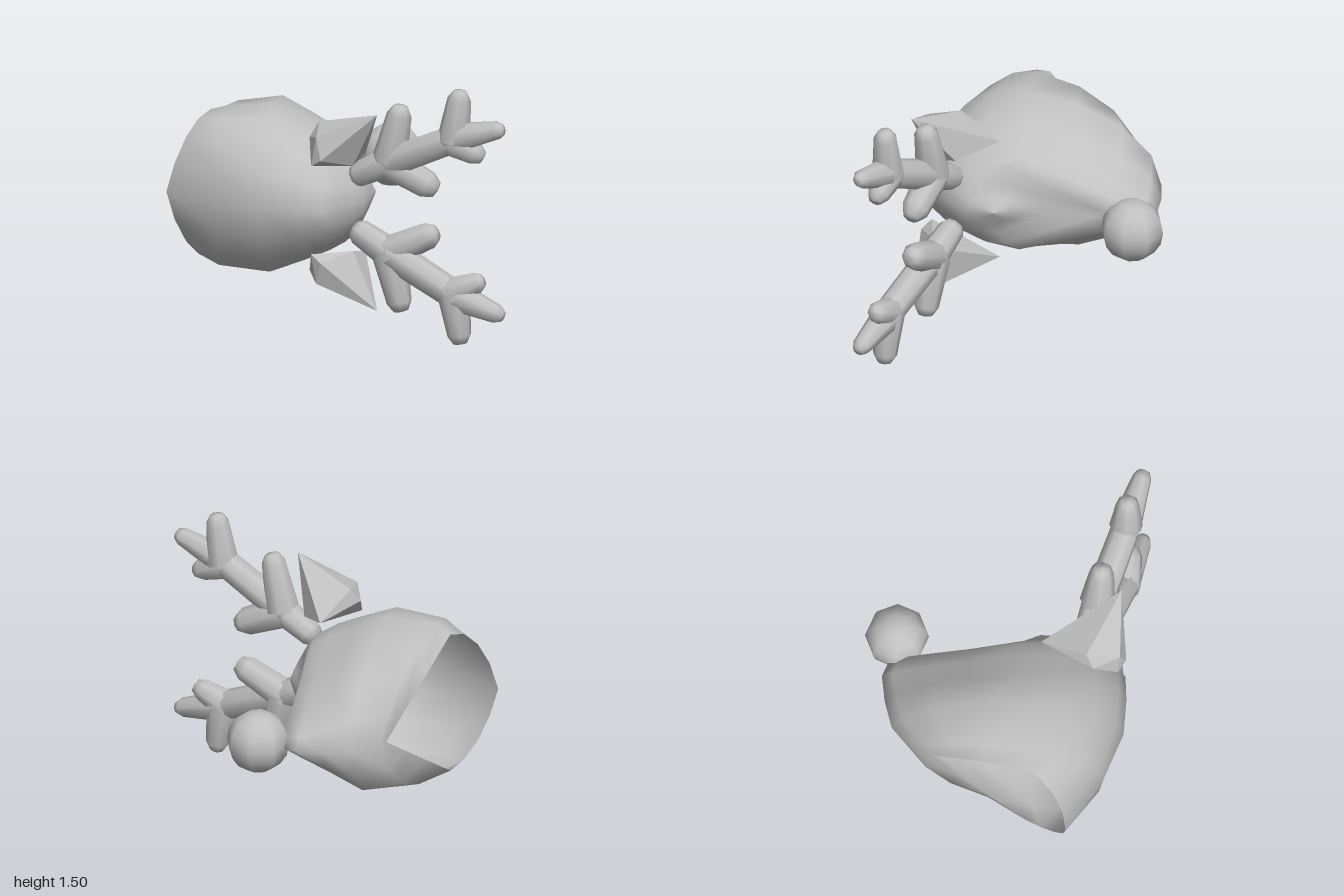
import * as THREE from 'three';
import { ConvexGeometry } from 'three/addons/geometries/ConvexGeometry.js';

const MID = 0.757; // height of the mirror plane

// Each section: front [x,z], back [x,z], half width, place of widest point, bow in x, straightness of back half
const SECTIONS = [
  [-1, 0.37, -0.56, -0.45, 0.43, 0.29, 0.09, 1],
  [-0.67, 0.58, -0.54, -0.49, 0.465, 0.38, -0.07, 0],
  [-0.41, 0.68, -0.41, -0.635, 0.488, 0.4, 0, 0],
  [-0.2, 0.69, -0.25, -0.68, 0.41, 0.42, 0, 0.3],
  [-0.06, 0.68, -0.1, -0.7, 0.345, 0.42, 0, 0.7],
  [0.02, 0.58, 0, -0.66, 0.3, 0.4, 0, 0.85],
  [0.09, 0.5, 0.01, -0.4, 0.24, 0.4, 0, 0.9],
  [0.14, 0.41, 0.01, -0.1, 0.17, 0.4, 0, 0.5],
  [0.16, 0.35, 0.12, 0.08, 0.08, 0.5, 0, 0],
  [0.175, 0.19, 0.175, 0.19, 0, 0.5, 0, 0],
];

// Open hood lofted from the rim to the crown, its back edge drawn out into the tail
function hoodGeometry() {
  const N = 16, pos = [], idx = [];
  SECTIONS.forEach(([fx, fz, bx, bz, w, f, bow, straight], i) => {
    for (let j = 0; j < N; j++) {
      const t = (j / N) * Math.PI * 2, c = Math.cos(t), s = Math.sin(t);
      const u = c > 0 ? f * (1 - c) : f - (1 - f) * c;
      const k = c > 0 ? s : THREE.MathUtils.lerp(s, Math.sign(s) * (1 + c), straight);
      pos.push(fx + (bx - fx) * u + bow * Math.abs(k), MID + w * k, fz + (bz - fz) * u);
      if (i < SECTIONS.length - 1) {
        const a = i * N + j, d = i * N + (j + 1) % N;
        idx.push(a, a + N, d, d, a + N, d + N);
      }
    }
  });
  const g = new THREE.BufferGeometry();
  g.setAttribute('position', new THREE.Float32BufferAttribute(pos, 3));
  g.setIndex(idx);
  g.computeVertexNormals();
  return g;
}

// Blunt rounded branch from a to b
function branch(a, b, r0, r1, mat, name) {
  const A = new THREE.Vector3(...a), B = new THREE.Vector3(...b);
  const dir = B.clone().sub(A), L = dir.length();
  const profile = [[0, -r0 * 0.7], [r0 * 0.75, -r0 * 0.45], [r0, 0], [r1, L - r1 * 0.7], [r1 * 0.6, L], [0, L + r1 * 0.12]];
  const mesh = new THREE.Mesh(
    new THREE.LatheGeometry(profile.map(p => new THREE.Vector2(...p)), 8), mat);
  mesh.position.copy(A);
  mesh.quaternion.setFromUnitVectors(new THREE.Vector3(0, 1, 0), dir.normalize());
  mesh.name = name;
  return mesh;
}

// Branches for one antler: start, end, radii, heights measured from the mirror plane
const ANTLER = [
  ['antlerBase', [0.12, 0.17, 0.45], [0.34, 0.29, 0.53], 0.075, 0.09],
  ['antlerBeam', [0.31, 0.27, 0.52], [0.7, 0.46, 0.67], 0.09, 0.085],
  ['lowerOuterProng', [0.3, 0.28, 0.51], [0.37, 0.6, 0.535], 0.1, 0.072],
  ['lowerInnerProng', [0.3, 0.26, 0.51], [0.575, 0.125, 0.56], 0.095, 0.08],
  ['upperOuterProng', [0.69, 0.45, 0.66], [0.73, 0.74, 0.67], 0.095, 0.068],
  ['antlerTip', [0.69, 0.46, 0.66], [0.985, 0.55, 0.755], 0.09, 0.055],
  ['upperInnerProng', [0.69, 0.44, 0.66], [0.86, 0.36, 0.69], 0.09, 0.065],
];

// Corners of one ear, heights measured from the mirror plane
const EAR = [
  [-0.11, 0.475, 0.46], [-0.16, 0.39, 0.5], [0, 0.37, 0.2], [0.15, 0.29, 0.42],
  [0.1, 0.25, 0.57], [-0.13, 0.26, 0.64], [-0.07, 0.3, 0.685], [-0.1, 0.43, 0.65], [0.25, 0.575, 0.65],
];

export function createModel() {
  const model = new THREE.Group();
  model.name = 'antlerHat';
  // Double sided because the hood is an open shell
  const grey = new THREE.MeshStandardMaterial({ color: 0xc0c0c0, side: THREE.DoubleSide });
  grey.name = 'grey';

  const hood = new THREE.Mesh(hoodGeometry(), grey);
  hood.name = 'hood';
  model.add(hood);

  // Pompom at the end of the tail
  const pompom = new THREE.Mesh(new THREE.SphereGeometry(0.182, 8, 8), grey);
  pompom.position.set(0.145, MID, -0.622);
  pompom.name = 'pompom';
  model.add(pompom);

  // Antlers and ears on both sides of the mirror plane
  for (const side of [1, -1]) {
    const at = ([x, y, z]) => [x, MID + side * y, z];
    const label = side > 0 ? 'upper' : 'lower';

    const antler = new THREE.Group();
    antler.name = label + 'Antler';
    for (const [name, a, b, r0, r1] of ANTLER) antler.add(branch(at(a), at(b), r0, r1, grey, name));
    model.add(antler);

    const ear = new THREE.Mesh(new ConvexGeometry(EAR.map(p => new THREE.Vector3(...at(p)))), grey);
    ear.name = label + 'Ear';
    model.add(ear);
  }
  return model;
}
